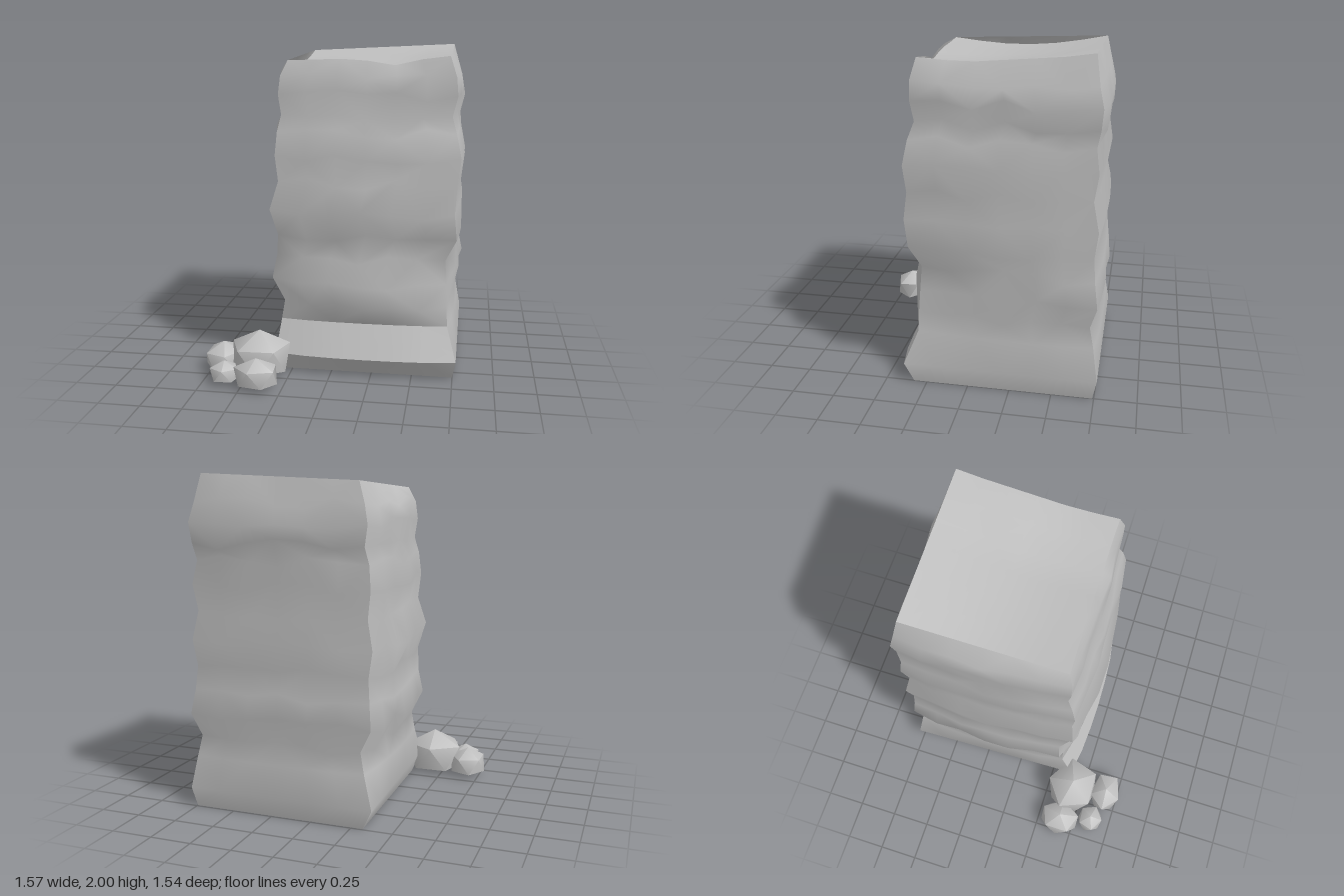
import * as THREE from 'three';
import { toCreasedNormals } from 'three/addons/utils/BufferGeometryUtils.js';

// Column sections: y, front-left x, back-left x, front-right x, back-right x,
// front corner z, front middle z, back corner z
const ROWS = [
  [0.00, -0.30, -0.32, 0.75, 0.75, 0.33, 0.33, -0.74],
  [0.12, -0.345, -0.38, 0.77, 0.775, 0.385, 0.43, -0.765],
  [0.32, -0.32, -0.325, 0.71, 0.74, 0.305, 0.335, -0.735],
  [0.44, -0.30, -0.295, 0.705, 0.72, 0.30, 0.40, -0.71],
  [0.58, -0.38, -0.37, 0.70, 0.77, 0.29, 0.40, -0.75],
  [0.73, -0.35, -0.355, 0.69, 0.745, 0.28, 0.38, -0.73],
  [0.87, -0.33, -0.345, 0.755, 0.73, 0.34, 0.355, -0.72],
  [1.03, -0.375, -0.375, 0.74, 0.75, 0.365, 0.43, -0.74],
  [1.20, -0.325, -0.335, 0.75, 0.725, 0.34, 0.385, -0.705],
  [1.36, -0.34, -0.36, 0.77, 0.745, 0.355, 0.395, -0.73],
  [1.50, -0.33, -0.345, 0.74, 0.72, 0.33, 0.36, -0.71],
  [1.60, -0.31, -0.325, 0.71, 0.74, 0.295, 0.325, -0.73],
  [1.72, -0.325, -0.345, 0.74, 0.755, 0.31, 0.33, -0.74],
  [1.83, -0.31, -0.32, 0.73, 0.73, 0.31, 0.325, -0.715],
  [1.94, -0.27, -0.28, 0.69, 0.69, 0.28, 0.275, -0.69],
];
const N = 6, TOP = ROWS.length - 1;
const TOP_LIFT = [-0.02, 0.01, 0.06, 0.015];
const OUTWARD = [[0, 0, 1], [1, 0, 0], [0, 0, -1], [-1, 0, 0]];
const SIDE_BULGE = [0, 0.025, 0.025, 0.04];

function seeded(seed) {
  return () => {
    seed = (seed * 16807) % 2147483647;
    return seed / 2147483647;
  };
}

// Builds a smooth grid from rows of points
function grid(rows) {
  const w = rows[0].length, index = [];
  for (let j = 0; j < rows.length - 1; j++) {
    for (let i = 0; i < w - 1; i++) {
      const a = j * w + i, d = a + w;
      if ((i + j) % 2) index.push(a, a + 1, d, a + 1, d + 1, d);
      else index.push(a, a + 1, d + 1, a, d + 1, d);
    }
  }
  const g = new THREE.BufferGeometry().setFromPoints(rows.flat());
  g.setIndex(index);
  g.computeVertexNormals();
  return g;
}

function corners(r) {
  const [y, fl, bl, fr, br, z, , zb] = ROWS[r];
  const lift = r === TOP ? TOP_LIFT : [0, 0, 0, 0];
  return [[fl, z], [fr, z], [br, zb], [bl, zb]]
    .map(([x, cz], k) => new THREE.Vector3(x, y + lift[k], cz));
}

// Small dents in the upper rim: 'side,column' to drop
const RIM_DENTS = {
  '0,3': 0.015, '0,4': 0.045, '0,5': 0.015,
  '1,1': 0.02, '1,2': 0.03, '1,3': 0.025, '1,4': 0.02, '1,5': 0.015,
};

// One weathered wall between two neighbouring corners
function wallRows(side, random) {
  const normal = new THREE.Vector3(...OUTWARD[side]);
  return ROWS.map((row, r) => {
    const c = corners(r), rough = r > 2 && r < TOP ? 1 : 0;
    return Array.from({ length: N + 1 }, (_, i) => {
      const u = i / N, inside = i > 0 && i < N ? 1 : 0;
      const s = inside * Math.pow(Math.sin(Math.PI * u), 0.6);
      const p = c[side].clone().lerp(c[(side + 1) % 4], u);
      const swell = r > 1 && r < TOP ? SIDE_BULGE[side] : 0;
      const bulge = s * (side === 0 ? row[6] - row[5] : swell);
      const depth = side === 0 ? 0.03 : 0.018;
      p.addScaledVector(normal, bulge - inside * rough * depth * (random() - 0.4));
      p.y += inside * rough * (random() - 0.5) * 0.07;
      if (r === TOP) p.y -= RIM_DENTS[[side, i]] ?? 0;
      return p;
    });
  });
}

// Top surface spanning the four upper wall edges, sagging below the left rim
function topRows([front, right, back, left]) {
  return Array.from({ length: N + 1 }, (_, j) =>
    Array.from({ length: N + 1 }, (_, i) => {
      const u = i / N, v = j / N;
      const a = front[i].clone().lerp(back[N - i], v);
      const b = left[N - j].clone().lerp(right[j], u);
      const c = front[0].clone().lerp(front[N], u)
        .lerp(back[N].clone().lerp(back[0], u), v);
      const p = a.add(b).sub(c);
      p.y -= 0.05 * Math.sin(Math.PI * v) * (1 - u) + 0.02 * Math.sin(Math.PI * u) * (1 - v);
      return p;
    }));
}

// Faceted boulder with a flattened base
function boulder(x, z, rx, rz, top, turn, taper) {
  const g = new THREE.IcosahedronGeometry(1, 0);
  g.rotateZ(-Math.atan(2 / (1 + Math.sqrt(5))));
  g.rotateY(turn);
  const base = 0.028, cy = base + (top - base) * 0.32, p = g.attributes.position;
  for (let i = 0; i < p.count; i++) {
    const k = p.getY(i) < 0 ? taper : 1;
    p.setXYZ(i, x + p.getX(i) * rx * k,
      Math.max(base, cy + p.getY(i) * (top - cy)), z + p.getZ(i) * rz * k);
  }
  return toCreasedNormals(g, 0.9);
}

export function createModel() {
  const model = new THREE.Group();
  model.name = 'rockPillarWithBoulders';
  const stone = new THREE.MeshStandardMaterial({ color: 0xbebebe, side: THREE.DoubleSide });
  stone.name = 'grey stone';
  const add = (name, geometry, parent) => {
    const mesh = new THREE.Mesh(geometry, stone);
    mesh.name = name;
    parent.add(mesh);
  };

  // Pillar: four walls and a top, open underneath
  const pillar = new THREE.Group();
  pillar.name = 'pillar';
  const random = seeded(4217);
  const walls = [0, 1, 2, 3].map((side) => wallRows(side, random));
  ['leftWall', 'backWall', 'rightWall']
    .forEach((name, k) => add(name, grid(walls[k + 1]), pillar));
  // Front is split by hard edges into an undercut foot, a ledge and a wall
  add('frontFoot', grid(walls[0].slice(0, 2)), pillar);
  add('frontLedge', grid(walls[0].slice(1, 3)), pillar);
  add('frontWall', grid(walls[0].slice(2)), pillar);
  add('pillarTop', grid(topRows(walls.map((w) => w[TOP]))), pillar);

  // Boulders beside the front corner
  const boulders = new THREE.Group();
  boulders.name = 'boulders';
  [
    ['largeBoulder', -0.435, 0.425, 0.212, 0.193, 0.28, 0.35, 0.92],
    ['sideBoulder', -0.672, 0.4, 0.127, 0.148, 0.183, 0, 1],
    ['frontBoulder', -0.402, 0.662, 0.153, 0.118, 0.19, 0.7, 0.92],
    ['smallBoulder', -0.612, 0.61, 0.1, 0.092, 0.142, 1.0, 1],
  ].forEach(([name, ...args]) => add(name, boulder(...args), boulders));

  model.add(pillar, boulders);
  return model;
}
